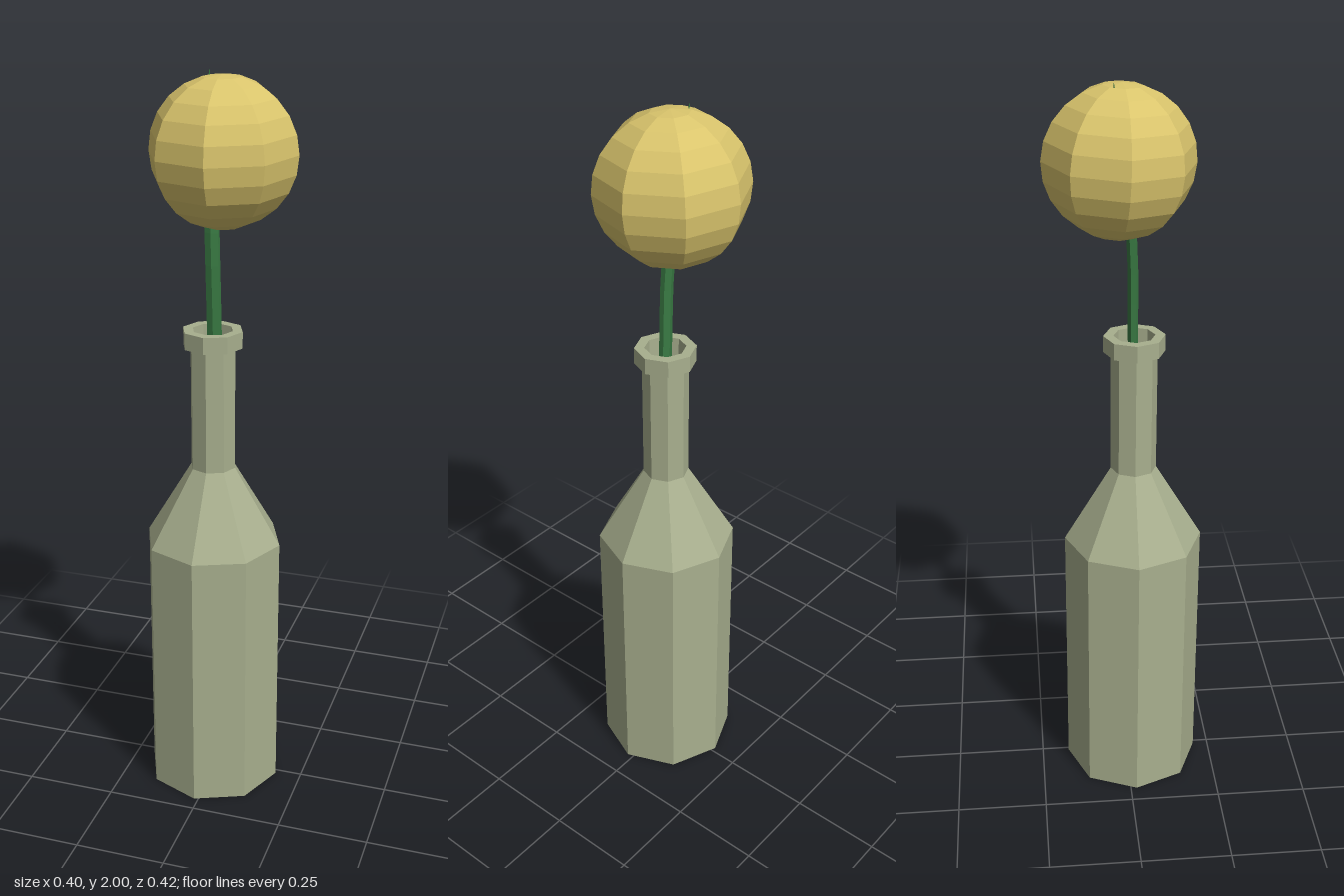
import * as THREE from 'three';

const flat = (name, color) => new THREE.MeshStandardMaterial({ name, color, flatShading: true });

export function createModel() {
  const group = new THREE.Group();
  const glass = flat('sageGlass', 0xa8af8e);
  const green = flat('stemGreen', 0x397a43);
  const yellow = flat('flowerYellow', 0xd9c46c);

  const add = (name, geometry, material) => {
    const mesh = new THREE.Mesh(geometry, material);
    mesh.name = name;
    group.add(mesh);
    return mesh;
  };

  // Eight-sided bottle: base, body, shoulder, neck, lip and hollow mouth
  const profile = [
    [0, 0], [0.19, 0], [0.19, 0.745], [0.062, 0.96], [0.062, 1.3],
    [0.082, 1.3], [0.082, 1.345], [0.055, 1.345], [0.05, 0.96], [0, 0.9],
  ].map(([r, y]) => new THREE.Vector2(r, y));
  const bottle = add('bottle', new THREE.LatheGeometry(profile, 8), glass);
  bottle.position.set(-0.012, 0, 0.017);
  bottle.rotation.x = 0.005;

  // Flattened stem that follows a gentle bend and narrows to a tip
  const bend = new THREE.CatmullRomCurve3([
    new THREE.Vector3(-0.003, 0.92, 0.023),
    new THREE.Vector3(-0.009, 1.35, 0.02),
    new THREE.Vector3(-0.016, 1.6, 0.016),
    new THREE.Vector3(-0.037, 1.997, -0.03),
  ]);
  const stem = new THREE.CylinderGeometry(0.021, 0.021, 1, 6, 9);
  const pos = stem.attributes.position;
  for (let i = 0; i < pos.count; i++) {
    const t = pos.getY(i) + 0.5;
    const p = bend.getPoint(t);
    const taper = Math.min(1, (1 - t) * 4 + 0.06);
    pos.setXYZ(i, p.x + pos.getX(i) * taper, p.y, p.z + pos.getZ(i) * taper * 0.65);
  }
  stem.computeVertexNormals();
  add('stem', stem, green);

  // Round faceted flower head
  const flower = add('flowerHead', new THREE.SphereGeometry(0.196, 8, 12), yellow);
  flower.position.set(0.004, 1.798, -0.013);
  flower.rotation.set(0.04, 0.06, 0);
  flower.scale.y = 0.985;

  return group;
}
